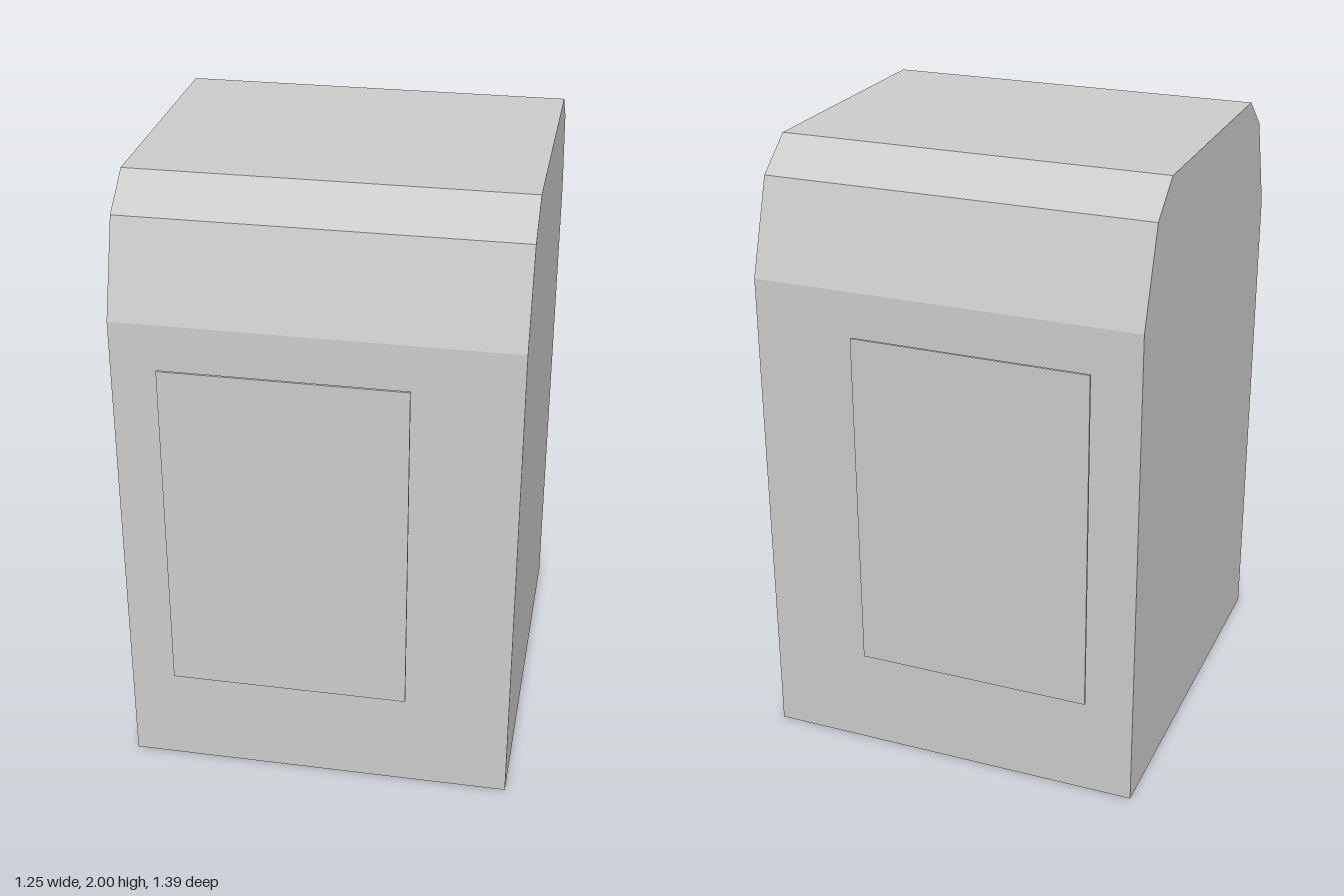
import * as THREE from 'three';

const WIDTH = 1.25;
const PANEL = { left: -0.475, right: 0.292, bottom: 0.338, top: 1.462, z: 0.689, depth: 0.008 };

export function createModel() {
  const group = new THREE.Group();
  const material = new THREE.MeshStandardMaterial({ color: 0xcccccc, flatShading: true });

  // Body: side profile with sloped shoulders, mirrored front to back and extruded across the width
  const half = [[0.665, 0], [0.665, 1.6], [0.565, 1.9], [0.437, 2]];
  const mirrored = half.map(([z, y]) => [-z, y]).reverse();
  const profile = new THREE.Shape([...half, ...mirrored].map(([z, y]) => new THREE.Vector2(z, y)));
  const bodyGeometry = new THREE.ExtrudeGeometry(profile, { depth: WIDTH, bevelEnabled: false });
  bodyGeometry.translate(0, 0, -WIDTH / 2).rotateY(Math.PI / 2);
  const body = new THREE.Mesh(bodyGeometry, material);
  body.name = 'body';
  group.add(body);

  // Thin panels standing just off the front and back faces
  const panelGeometry = new THREE.BoxGeometry(PANEL.right - PANEL.left, PANEL.top - PANEL.bottom, PANEL.depth);
  for (const [name, side] of [['frontPanel', 1], ['backPanel', -1]]) {
    const panel = new THREE.Mesh(panelGeometry, material);
    panel.name = name;
    panel.position.set((PANEL.left + PANEL.right) / 2, (PANEL.bottom + PANEL.top) / 2, side * PANEL.z);
    group.add(panel);
  }

  return group;
}
